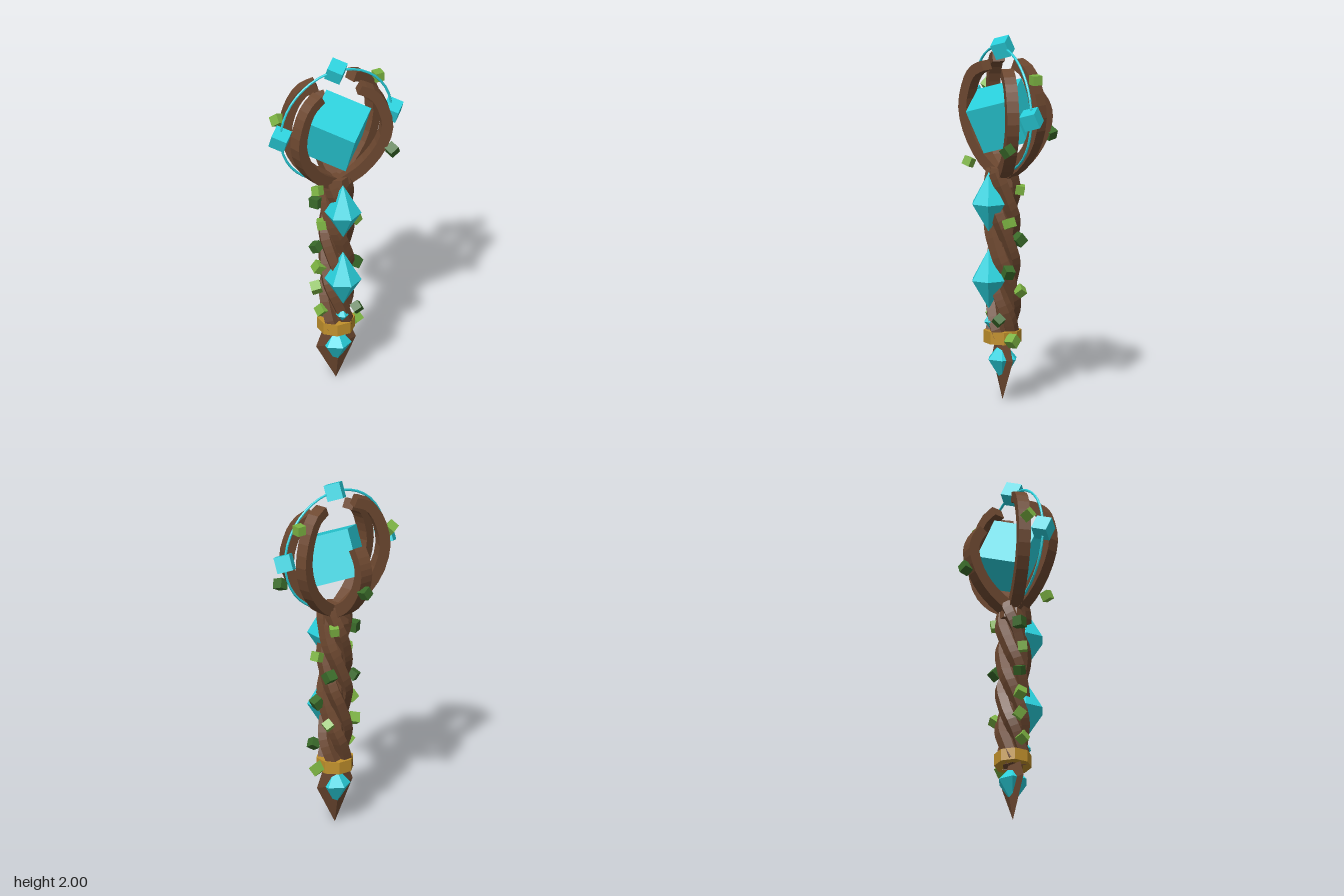
import * as THREE from 'three';

const AXIS_Z = 0.05; // depth of the staff's long axis
const mat = (color, side = THREE.FrontSide) =>
  new THREE.MeshStandardMaterial({ color, flatShading: true, side });
const WOOD = mat(0x6d4830, THREE.DoubleSide);
const CRYSTAL = mat(0x29d0dc);
const GOLD = mat(0xc0902c);
const LEAF = mat(0x7cb342);
const DARK_LEAF = mat(0x3a6b2a);

export function createModel() {
  const root = new THREE.Group();
  root.name = 'staff';

  const add = (name, geometry, material, x = 0, y = 0, z = AXIS_Z) => {
    const mesh = new THREE.Mesh(geometry, material);
    mesh.name = name;
    mesh.position.set(x, y, z);
    root.add(mesh);
    return mesh;
  };
  const lathe = (points, sides) =>
    new THREE.LatheGeometry(points.map(([r, y]) => new THREE.Vector2(r, y)), sides);

  // Pointed foot: a flattened four-sided spike
  add('footSpike', lathe([[0, 0.005], [0.12, 0.23], [0.075, 0.34], [0, 0.34]], 4), WOOD)
    .scale.z = 0.33;

  // Six-sided double-pointed gems
  const addGem = (name, r, up, down, y, z) =>
    add(name, lathe([[0, -down], [r, 0], [0, up]], 6), CRYSTAL, 0, y, z);
  addGem('footGem', 0.085, 0.1, 0.13, 0.23, AXIS_Z);
  addGem('upperGripGem', 0.1, 0.17, 0.16, 1.09, 0.133);
  addGem('lowerGripGem', 0.1, 0.17, 0.16, 0.67, 0.133);
  addGem('smallGripGem', 0.035, 0.05, 0.04, 0.44, 0.125);

  // Metal collar
  const collar = add('collar', new THREE.CylinderGeometry(0.102, 0.102, 0.068, 8), GOLD, 0, 0.355);
  collar.rotation.y = Math.PI / 8;

  // Grip: four strands winding around a core
  add('gripCore', new THREE.CylinderGeometry(0.06, 0.06, 0.94, 6), WOOD, 0, 0.79);
  const STRANDS = 4;
  for (let i = 0; i < STRANDS; i++) {
    const pts = [];
    for (let k = 0; k <= 16; k++) {
      const t = k / 16;
      const a = (i / STRANDS) * Math.PI * 2 + 0.5 + t * Math.PI * 2.2;
      const r = 0.056 + 0.004 * Math.sin(k * 1.7 + i);
      pts.push(new THREE.Vector3(Math.cos(a) * r, 0.33 + t * 0.93, Math.sin(a) * r));
    }
    const path = new THREE.CatmullRomCurve3(pts);
    add('gripStrand', new THREE.TubeGeometry(path, 28, 0.042, 5, false), WOOD);
  }
  add('gripCrown', new THREE.CylinderGeometry(0.07, 0.085, 0.1, 7), WOOD, 0, 1.23);

  // Curved prongs: a tapered strip along a planar path, extruded sideways
  const addProng = (name, path, angle, width) => {
    const curve = new THREE.SplineCurve(path.map(([r, y]) => new THREE.Vector2(r, y)));
    const outer = [], inner = [];
    const N = 14;
    for (let k = 0; k <= N; k++) {
      const t = k / N;
      const p = curve.getPoint(t), d = curve.getTangent(t);
      const half = 0.034 - 0.006 * t;
      outer.push(new THREE.Vector2(p.x + d.y * half, p.y - d.x * half));
      inner.unshift(new THREE.Vector2(p.x - d.y * half, p.y + d.x * half));
    }
    const geo = new THREE.ExtrudeGeometry(new THREE.Shape([...outer, ...inner]),
      { depth: width, bevelEnabled: false });
    geo.translate(0, 0, -width / 2);
    add(name, geo, WOOD).rotation.y = angle;
  };
  const tall = [[0.02, 1.24], [0.14, 1.32], [0.235, 1.44], [0.277, 1.59], [0.25, 1.73], [0.19, 1.83], [0.11, 1.865]];
  const lower = [[0.02, 1.24], [0.14, 1.32], [0.235, 1.44], [0.277, 1.57], [0.25, 1.7], [0.2, 1.78], [0.125, 1.82]];
  const short = [[0.02, 1.24], [0.13, 1.31], [0.215, 1.41], [0.255, 1.52], [0.245, 1.6], [0.2, 1.67]];
  const SPREAD = 0.29;
  addProng('backLeftProng', tall, SPREAD, 0.066);
  addProng('backRightProng', tall, Math.PI - SPREAD, 0.066);
  addProng('frontLeftProng', lower, -SPREAD, 0.066);
  addProng('frontRightProng', lower, Math.PI + SPREAD, 0.066);
  addProng('backProng', short, Math.PI / 2, 0.074);

  // Floating crystal cube, halo ring and its three small cubes
  const addCube = (name, size, x, y) => {
    const cube = add(name, new THREE.BoxGeometry(size, size, size), CRYSTAL, x, y);
    cube.rotation.set(0.43, Math.PI / 4, 0);
  };
  addCube('coreCrystal', 0.262, 0, 1.56);
  add('haloRing', new THREE.TorusGeometry(0.335, 0.007, 6, 40), CRYSTAL, 0, 1.6);
  addCube('haloCrystal', 0.088, 0, 1.935);
  addCube('haloCrystal', 0.088, 0.337, 1.6);
  addCube('haloCrystal', 0.088, -0.337, 1.6);

  // Leaf blocks: [x, y, z, dark]
  const leaves = [
    [0.28, 1.8, -0.005, 0], [0.28, 1.425, 0.165, 1], [-0.17, 1.29, 0.165, 0],
    [-0.315, 1.67, -0.03, 0], [0.01, 1.44, -0.235, 1],
    [0.06, 1.16, -0.025, 0], [-0.11, 1.13, 0.03, 1], [-0.09, 1.0, 0.06, 0],
    [0.108, 0.99, 0.065, 0], [0.08, 0.89, -0.01, 1], [-0.11, 0.845, 0.03, 1],
    [-0.1, 0.72, 0.04, 0], [0.105, 0.72, 0.07, 1], [0.09, 0.61, -0.01, 0],
    [-0.11, 0.59, 0.03, 0], [-0.09, 0.46, 0.06, 0], [0.09, 0.46, 0.12, 1],
    [0.115, 0.345, 0.05, 0],
  ];
  leaves.forEach(([x, y, z, dark], i) => {
    const s = 0.052 + 0.004 * Math.sin(i * 2.3);
    const leaf = add('leaf', new THREE.BoxGeometry(s, s, s), dark ? DARK_LEAF : LEAF, x, y, z);
    leaf.rotation.set(i * 1.3, i * 2.1, i * 0.7);
  });

  return root;
}
